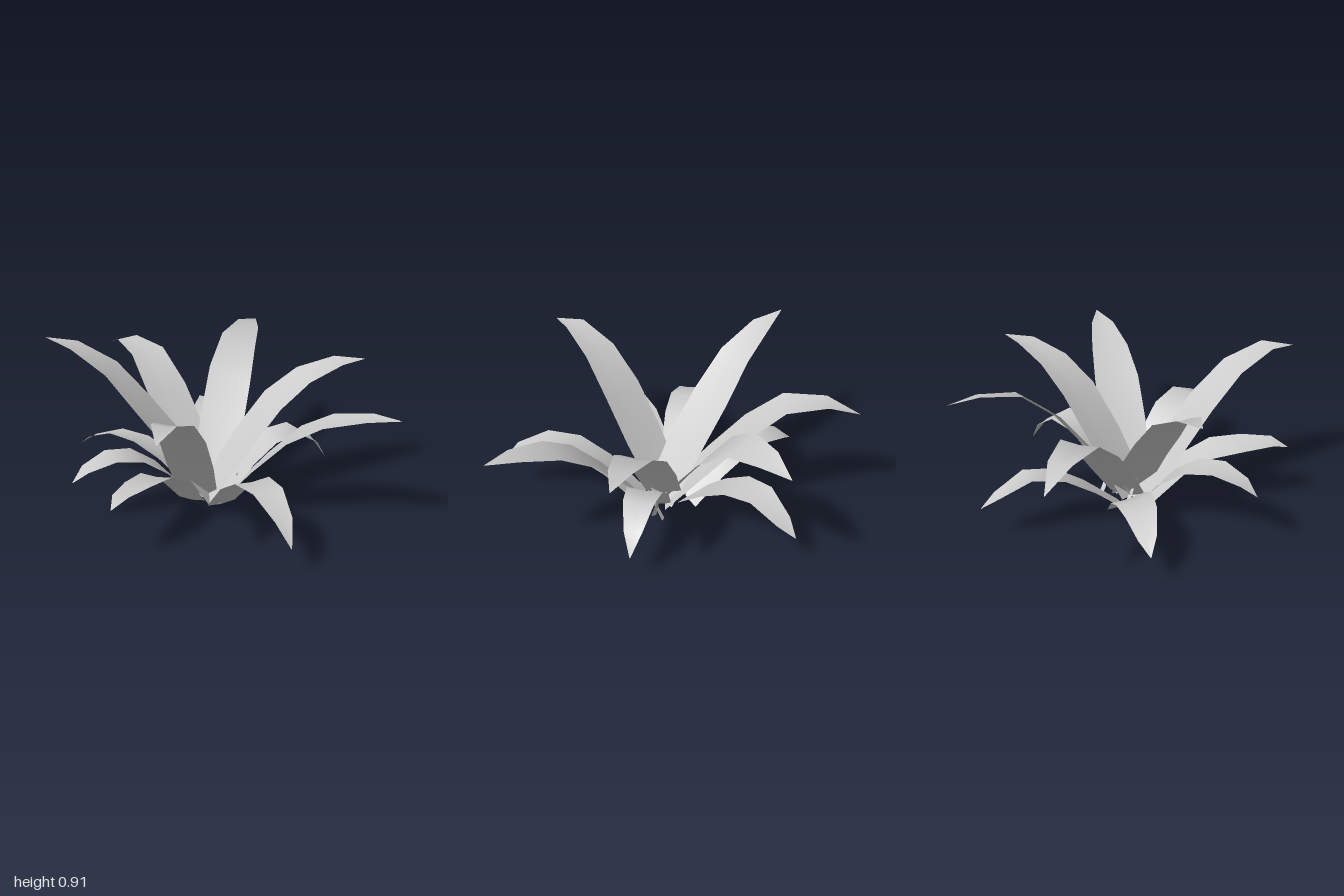
import * as THREE from 'three';

const material = new THREE.MeshStandardMaterial({ color: 0xcccccc, side: THREE.DoubleSide });

// Each kind of leaf: fractions along its length, and the widths there
const LONG = { at: [0, 0.23, 0.42, 0.61, 0.83, 1], widths: [0.22, 0.26, 0.255, 0.21, 0.13, 0.004] };
const SHORT = { at: [0, 0.25, 0.46, 0.68, 0.89, 1], widths: [0.17, 0.2, 0.2, 0.17, 0.1, 0.004] };
const SPROUT = { at: [0, 0.5, 1], widths: [0.03, 0.025, 0.002] };
const ACROSS = [-1, 0, 1];

// A thin arching blade from base [x, z] to tip [x, z], with a height per station;
// roll (radians) tips the blade sideways about its midrib
function leaf(name, kind, base, tip, heights, roll = 0) {
  const dx = tip[0] - base[0], dz = tip[1] - base[1];
  const len = Math.hypot(dx, dz);
  const side = new THREE.Vector3(-dz / len * Math.cos(roll), Math.sin(roll), dx / len * Math.cos(roll));
  const pos = [], index = [];
  kind.at.forEach((t, i) => {
    for (const s of ACROSS) {
      const w = s * kind.widths[i] / 2;
      // The midrib sits a little below the edges
      const dip = s === 0 ? -0.05 * kind.widths[i] : 0;
      pos.push(
        base[0] + dx * t + side.x * w,
        heights[i] + side.y * w + dip,
        base[1] + dz * t + side.z * w
      );
    }
    if (i === 0) return;
    for (let j = 0; j < 2; j++) {
      const a = (i - 1) * 3 + j, b = a + 3;
      index.push(a, a + 1, b, a + 1, b + 1, b);
    }
  });
  const geo = new THREE.BufferGeometry();
  geo.setAttribute('position', new THREE.Float32BufferAttribute(pos, 3));
  geo.setIndex(index);
  geo.computeVertexNormals();
  const mesh = new THREE.Mesh(geo, material);
  mesh.name = name;
  return mesh;
}

export function createModel() {
  const group = new THREE.Group();
  group.name = 'rosettePlant';

  // Tall upper leaves
  const upper = [
    [[-0.08, 0], [-0.09, -0.98], [0.04, 0.36, 0.6, 0.745, 0.77, 0.74], -0.33],
    [[-0.1, 0.03], [0.68, -0.51], [0.04, 0.35, 0.57, 0.7, 0.76, 0.75], -0.05],
    [[0, 0.05], [1, 0.13], [0.03, 0.31, 0.51, 0.625, 0.68, 0.69]],
    [[-0.14, 0.02], [-0.04, 0.97], [0.03, 0.32, 0.56, 0.74, 0.83, 0.8]],
    [[-0.05, 0.02], [-1, 0.08], [0.03, 0.35, 0.56, 0.76, 0.88, 0.91]],
    [[-0.08, 0], [-0.91, -0.67], [0.03, 0.31, 0.53, 0.69, 0.7, 0.62]],
  ];
  upper.forEach(([b, t, h, r], i) => group.add(leaf('upperLeaf' + (i + 1), LONG, b, t, h, r)));

  // Short drooping leaves below
  const lower = [
    [[-0.2, -0.06], [-0.27, -0.87], [0.03, 0.2, 0.31, 0.345, 0.26, 0.2], -0.12],
    [[-0.19, -0.07], [-0.92, -0.14], [0.03, 0.19, 0.27, 0.29, 0.235, 0.17], -0.25],
    [[-0.18, 0.03], [-0.69, 0.52], [0.03, 0.24, 0.35, 0.38, 0.335, 0.27]],
    [[-0.16, 0.08], [-0.34, 0.84], [0.03, 0.24, 0.34, 0.365, 0.37, 0.33], -0.12],
    [[0.01, 0.08], [0.57, 0.7], [0.03, 0.24, 0.355, 0.38, 0.3, 0.18]],
    [[-0.02, 0], [0.49, -0.41], [0.03, 0.24, 0.35, 0.375, 0.28, 0.16]],
  ];
  lower.forEach(([b, t, h, r], i) => group.add(leaf('lowerLeaf' + (i + 1), SHORT, b, t, h, r)));

  // Slim crossing sprouts around the crown
  const sprouts = [
    [[-0.21, -0.06], [-0.17, 0.02]],
    [[-0.16, 0.02], [-0.21, -0.07]],
    [[0.05, -0.06], [0.07, -0.13]],
    [[0.03, -0.12], [0.07, -0.04]],
  ];
  sprouts.forEach(([b, t], i) =>
    group.add(leaf('sprout' + (i + 1), SPROUT, b, t, [0.005, 0.09, 0.17])));

  return group;
}
